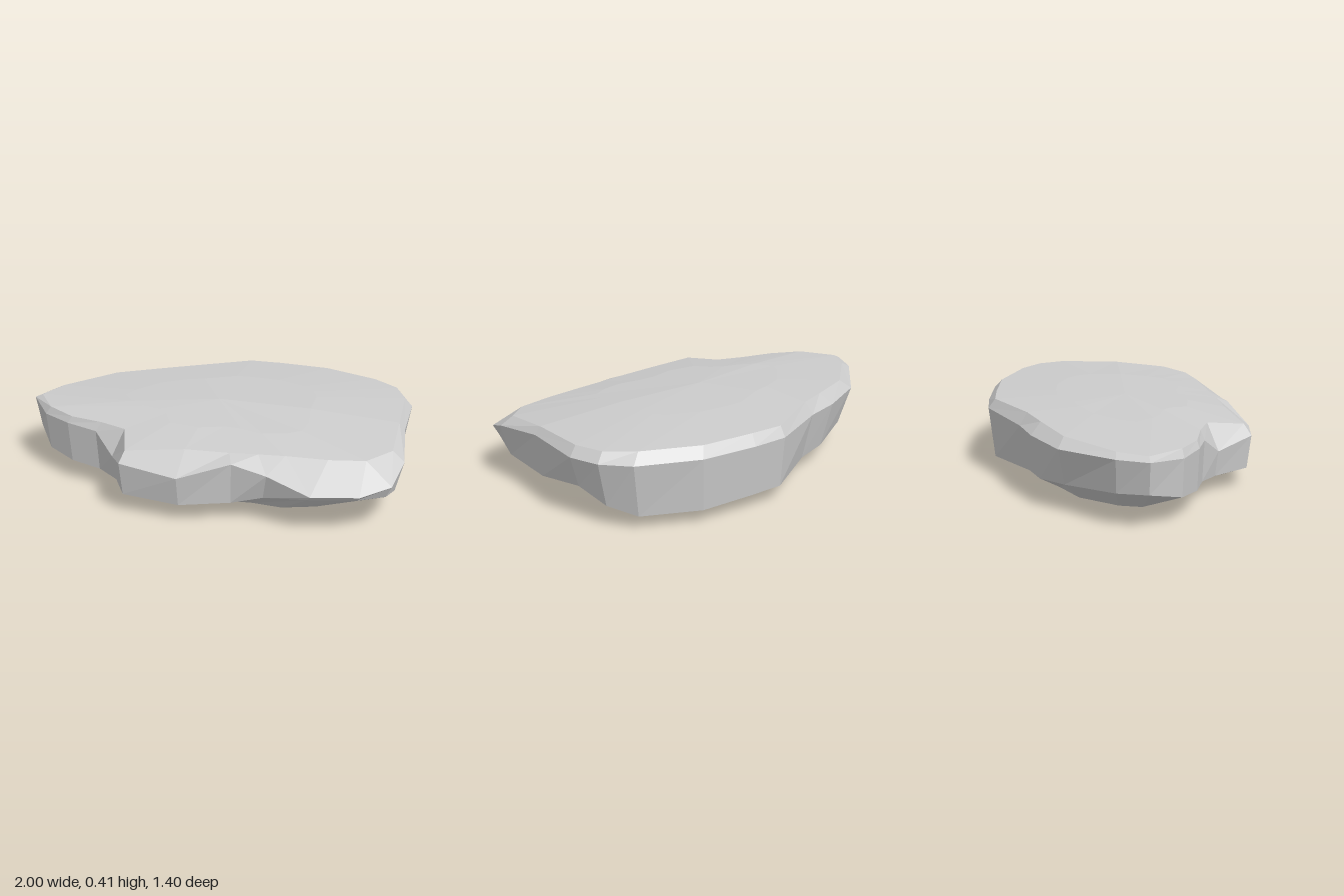
import * as THREE from 'three';

// Stations round the rim, clockwise from above:
// [x, z, shoulder height, top rim scale, foot scale, foot height]
const stations = [
  [-1, -0.1, 0.34, 0.96, 0.97, 0.18],
  [-0.92, -0.24, 0.34, 0.95, 0.96, 0.17],
  [-0.67, -0.46, 0.33, 0.92, 0.92, 0.14],
  [-0.41, -0.55, 0.33, 0.9, 0.92, 0.1],
  [-0.22, -0.58, 0.33, 0.93, 0.92, 0.09],
  [0.12, -0.7, 0.34, 0.95, 0.96, 0.08],
  [0.3, -0.68, 0.34, 0.94, 0.96, 0.08],
  [0.58, -0.62, 0.34, 0.94, 0.96, 0.07],
  [0.86, -0.46, 0.34, 0.94, 0.95, 0.07],
  [0.96, -0.33, 0.34, 0.96, 0.94, 0.11],
  [1, -0.18, 0.34, 0.96, 0.95, 0.18],
  [0.95, 0.15, 0.34, 0.97, 0.97, 0.12],
  [0.94, 0.45, 0.3, 0.94, 0.96, 0.14],
  [0.88, 0.61, 0.24, 0.86, 0.97, 0.18],
  [0.73, 0.68, 0.21, 0.79, 0.98, 0.19],
  [0.5, 0.7, 0.21, 0.75, 0.98, 0.19],
  [0.29, 0.62, 0.27, 0.84, 0.94, 0.14],
  [0.12, 0.59, 0.31, 0.88, 0.97, 0.1],
  [-0.14, 0.63, 0.24, 0.8, 0.96, 0.09],
  [-0.43, 0.55, 0.27, 0.94, 0.97, 0.1],
  [-0.5, 0.36, 0.22, 0.88, 0.97, 0.09],
  [-0.6, 0.26, 0.31, 0.95, 0.98, 0.1],
  [-0.76, 0.19, 0.32, 0.97, 0.98, 0.11],
  [-0.9, 0.08, 0.32, 0.97, 0.98, 0.13],
];

// Gentle fall of the upper face towards the front and the left tip
const topHeight = (x, z) =>
  0.41 - 0.12 * Math.max(0, z - 0.05) - 0.05 * Math.max(0, -x - 0.15) - 0.04 * Math.max(0, Math.abs(z) - 0.4) - 0.02 * Math.max(0, x - 0.4);

// Shallow keel of the underside
const floorHeight = (x, z) =>
  0.05 * Math.max(0, x) + 0.05 * Math.max(0, z) + 0.06 * Math.max(0, -z - 0.2) + 0.09 * Math.max(0, -x - 0.4);

function buildStone() {
  const ring = (scaleOf, heightOf) => stations.map((s) => {
    const k = scaleOf(s), x = s[0] * k, z = s[1] * k;
    return [x, heightOf(x, z, s), z];
  });
  const rings = [
    ring(() => 0, topHeight),
    ring(() => 0.5, topHeight),
    ring((s) => s[3], (x, z) => topHeight(x, z) - 0.01), // top rim
    ring(() => 1, (x, z, s) => s[2]), // shoulder
    ring((s) => s[4], (x, z, s) => s[5]), // foot
    ring(() => 0.72, (x, z) => floorHeight(x, z) + 0.01), // underside
    ring(() => 0.4, floorHeight),
    ring(() => 0, floorHeight),
  ];
  const positions = [];
  const n = stations.length, last = rings.length - 2;
  for (let r = 0; r <= last; r++) {
    for (let i = 0; i < n; i++) {
      const j = (i + 1) % n;
      const a = rings[r][i], b = rings[r][j], c = rings[r + 1][i], d = rings[r + 1][j];
      if (r > 0) positions.push(...a, ...b, ...d);
      if (r === last) continue;
      positions.push(...a, ...d, ...c);
    }
  }
  const geometry = new THREE.BufferGeometry();
  geometry.setAttribute('position', new THREE.Float32BufferAttribute(positions, 3));
  geometry.computeVertexNormals();
  return geometry;
}

export function createModel() {
  const group = new THREE.Group();
  group.name = 'flatRock';
  const stone = new THREE.Mesh(
    buildStone(),
    new THREE.MeshStandardMaterial({ color: 0xcccccc, flatShading: true })
  );
  stone.name = 'stone';
  group.add(stone);
  return group;
}
